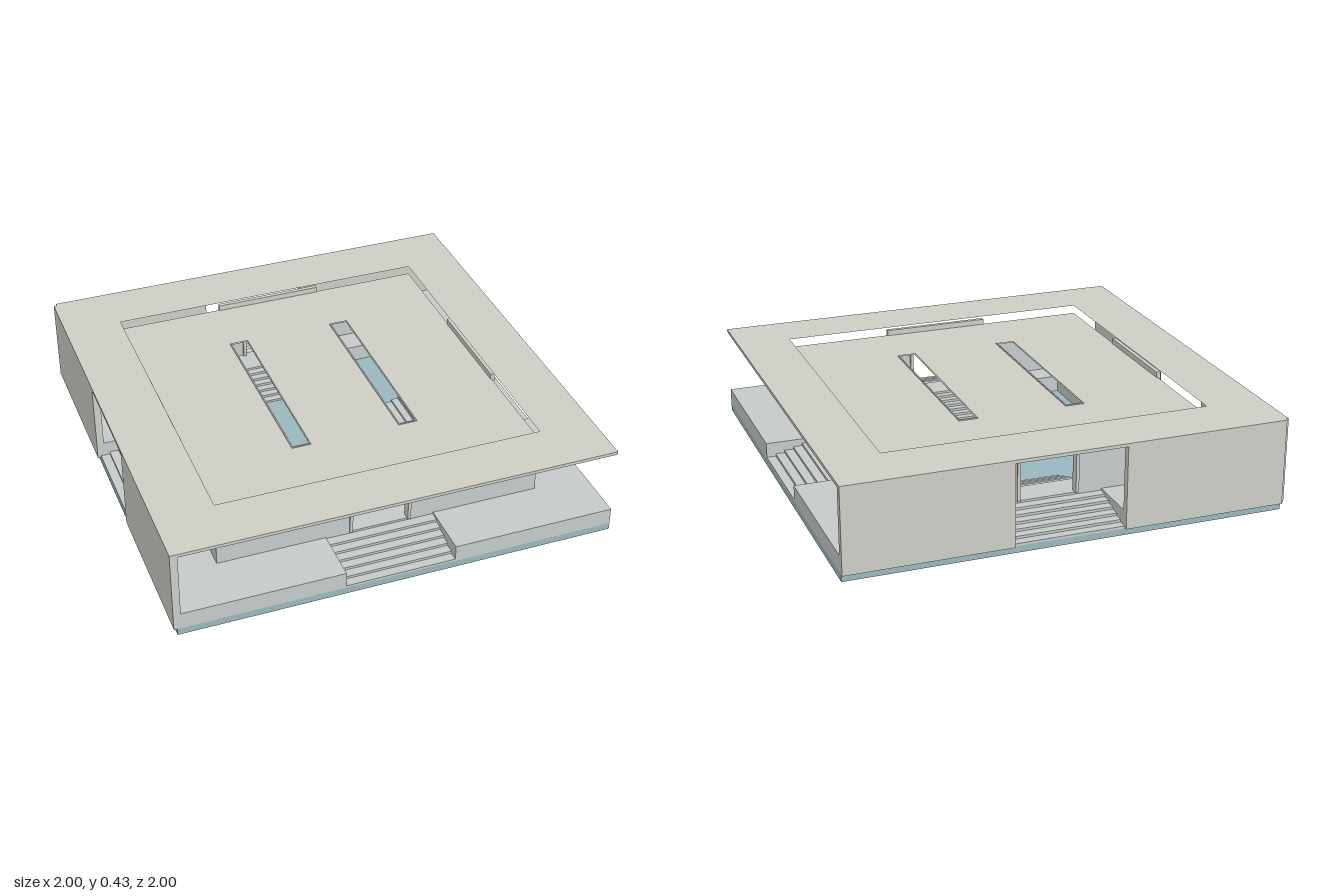
import * as THREE from 'three';

const mat = (color) => new THREE.MeshStandardMaterial({ color });
const warm = mat(0xcfcfc8), cool = mat(0xc6cccb), blue = mat(0x9ab9bf);
const C = 0.0075; // centre of the plan; the outer panels add thickness at the back and right

// Box given by its limits
function box(name, material, x0, x1, y0, y1, z0, z1) {
  const mesh = new THREE.Mesh(new THREE.BoxGeometry(x1 - x0, y1 - y0, z1 - z0), material);
  mesh.position.set((x0 + x1) / 2, (y0 + y1) / 2, (z0 + z1) / 2);
  mesh.name = name;
  return mesh;
}

// Flat slab from a plan outline in (x, z), with holes
function slab(name, material, outline, holes, y0, y1) {
  const points = (list) => list.map(([x, z]) => new THREE.Vector2(x, -z));
  const shape = new THREE.Shape(points(outline));
  for (const hole of holes) shape.holes.push(new THREE.Path(points(hole)));
  const geometry = new THREE.ExtrudeGeometry(shape, { depth: y1 - y0, bevelEnabled: false });
  geometry.rotateX(-Math.PI / 2).translate(0, y0, 0);
  const mesh = new THREE.Mesh(geometry, material);
  mesh.name = name;
  return mesh;
}

const rect = (x0, x1, z0, z1) => [[x0, z0], [x1, z0], [x1, z1], [x0, z1]];

// One side of the building: stairs, wall with doorway, door frame and roof tab
function createSide() {
  const side = new THREE.Group();
  const steps = 6, rise = 0.07 / steps;

  // Outer stairs rise to the door, inner stairs descend to the sunken floor
  for (let i = 0; i < steps; i++) {
    const top = 0.03 + rise * (i + 1);
    const z = 0.9925 - i * 0.042;
    side.add(box('outerStep', cool, -0.25, 0.25, 0.03, top, z - (i === steps - 1 ? 0.045 : 0.042), z));
    const inner = 0.4 + i * 0.2 / steps;
    side.add(box('innerStep', cool, -0.19, 0.19, 0.03, top, inner, inner + 0.2 / steps));
  }

  // Wall panels and lintel
  for (const s of [-1, 1]) {
    side.add(box('wallPanel', cool, Math.min(s * 0.135, s * 0.742), Math.max(s * 0.135, s * 0.742),
      0.11, 0.37, 0.722, 0.742));
    side.add(box('doorJamb', warm, s * 0.135 - 0.007, s * 0.135 + 0.007, 0.11, 0.305, 0.71, 0.75));
  }
  side.add(box('lintel', cool, -0.135, 0.135, 0.3, 0.37, 0.722, 0.742));
  side.add(box('doorHead', warm, -0.142, 0.142, 0.298, 0.31, 0.71, 0.75));

  // Tab that carries the roof ring
  side.add(box('roofTab', warm, -0.25, 0.25, 0.37, 0.411, 0.737, 0.757));
  return side;
}

export function createModel() {
  const model = new THREE.Group();
  model.name = 'pavilion';

  model.add(box('base', blue, -0.985, 1, 0, 0.032, -0.985, 1));

  // Plan centred on the building
  const building = new THREE.Group();
  building.name = 'building';
  building.position.set(C, 0, C);
  model.add(building);

  // Platform with a stair notch on each side and a sunken room
  const outline = [];
  for (let i = 0; i < 4; i++) {
    const a = i * Math.PI / 2, c = Math.cos(a), s = Math.sin(a);
    for (const [x, z] of [[-0.9925, 0.9925], [-0.25, 0.9925], [-0.25, 0.738], [0.25, 0.738], [0.25, 0.9925]]) {
      outline.push([x * c + z * s, -x * s + z * c]);
    }
  }
  building.add(slab('platform', cool, outline, [rect(-0.6, 0.6, -0.6, 0.6)], 0.032, 0.11));

  for (let i = 0; i < 4; i++) {
    const side = createSide();
    side.name = ['frontSide', 'leftSide', 'backSide', 'rightSide'][i];
    side.rotation.y = i * Math.PI / 2;
    building.add(side);
  }

  // Inner roof with two skylight slots and their thin rims
  const slots = [-0.25, 0.25].map((x) => rect(x - 0.038, x + 0.038, -0.43, 0.43));
  building.add(slab('innerRoof', warm, rect(-0.742, 0.742, -0.742, 0.742), slots, 0.37, 0.385));
  for (const x of [-0.25, 0.25]) {
    building.add(slab('skylightRim', warm, rect(x - 0.044, x + 0.044, -0.436, 0.436),
      [rect(x - 0.038, x + 0.038, -0.43, 0.43)], 0.37, 0.39));
  }

  // Roof ring with a small notch at the back right corner
  model.add(slab('roofRing', warm,
    [[-0.985, -1], [1, -1], [1, 1], [-1, 1], [-1, -0.985], [-0.985, -0.985]],
    [rect(C - 0.7425, C + 0.7425, C - 0.7425, C + 0.7425)], 0.41, 0.425));

  // Outer wall panels on the back and right, open in front of the stairs
  for (const [a, b] of [[-0.985, -0.2425], [0.2575, 1]]) {
    model.add(box('rightOuterWall', warm, -1, -0.985, 0.032, 0.411, a, b));
    model.add(box('rightInnerLining', warm, -0.985, -0.967, 0.11, 0.411, a, b));
    model.add(box('backOuterWall', warm, a, b, 0.032, 0.411, -1, -0.985));
    model.add(box('backInnerLining', warm, a, b, 0.11, 0.411, -0.985, -0.967));
  }
  return model;
}
